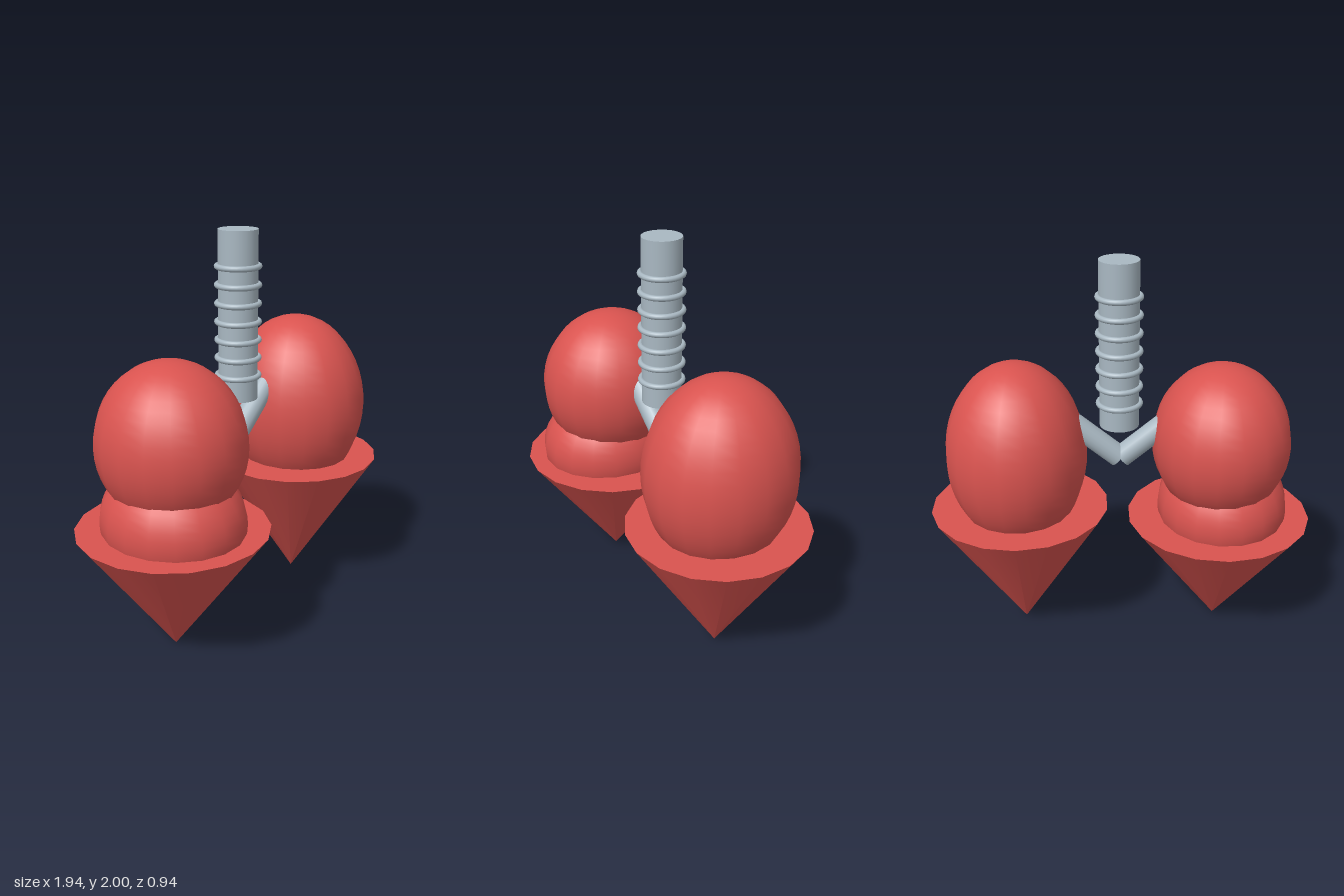
import * as THREE from 'three';

export function createModel() {
  const model = new THREE.Group();
  const red = new THREE.MeshStandardMaterial({ color: 0xd9534f });
  red.name = 'lungRed';
  const grey = new THREE.MeshStandardMaterial({ color: 0xa9b8c2 });
  grey.name = 'airwayGrey';

  function add(parent, name, geometry, material, x, y, z) {
    const mesh = new THREE.Mesh(geometry, material);
    mesh.name = name;
    mesh.position.set(x, y, z);
    parent.add(mesh);
    return mesh;
  }

  // Egg-shaped lobe given by its centre and radii
  function addLobe(parent, name, [x, y, z], [rx, ry, rz]) {
    const geometry = new THREE.SphereGeometry(1, 18, 24).scale(rx, ry, rz);
    return add(parent, name, geometry, red, x, y, z);
  }

  // Downward-pointing cone with a flat closed top
  function addCone(parent, name, x, bottom, top, radius) {
    const geometry = new THREE.ConeGeometry(radius, top - bottom, 18).rotateX(Math.PI);
    return add(parent, name, geometry, red, x, (top + bottom) / 2, 0);
  }

  // Left lung: one tall lobe on a cone
  const leftLung = new THREE.Group();
  leftLung.name = 'leftLung';
  addLobe(leftLung, 'leftUpperLobe', [0.525, 1.015, 0], [0.355, 0.48, 0.38]);
  addCone(leftLung, 'leftLowerLobe', 0.52, 0.01, 0.72, 0.454);
  model.add(leftLung);

  // Right lung: two stacked lobes on a cone
  const rightLung = new THREE.Group();
  rightLung.name = 'rightLung';
  addLobe(rightLung, 'rightUpperLobe', [-0.508, 1.07, 0], [0.35, 0.4, 0.372]);
  addLobe(rightLung, 'rightMiddleLobe', [-0.528, 0.7, 0.02], [0.335, 0.3, 0.365]);
  addCone(rightLung, 'rightLowerLobe', -0.508, 0.005, 0.645, 0.472);
  model.add(rightLung);

  // Windpipe with seven cartilage rings
  const windpipe = new THREE.Group();
  windpipe.name = 'windpipe';
  add(windpipe, 'windpipeTube', new THREE.CylinderGeometry(0.098, 0.098, 0.835, 24), grey, 0.007, 1.5825, 0);
  const ring = new THREE.TorusGeometry(0.103, 0.014, 10, 32).rotateX(Math.PI / 2);
  for (let i = 0; i < 7; i++) {
    add(windpipe, 'cartilageRing', ring, grey, 0.007, 1.284 + i * 0.09, 0);
  }
  model.add(windpipe);

  // Two branches forming a V beneath the windpipe
  const length = 0.3, angle = THREE.MathUtils.degToRad(39.5);
  const branch = new THREE.CylinderGeometry(0.057, 0.057, length, 18).translate(0, length / 2, 0);
  for (const side of [-1, 1]) {
    const name = side > 0 ? 'leftBronchus' : 'rightBronchus';
    add(model, name, branch, grey, 0.003 + side * 0.007, 0.987, 0)
      .rotation.z = -side * (Math.PI / 2 - angle);
  }

  return model;
}
